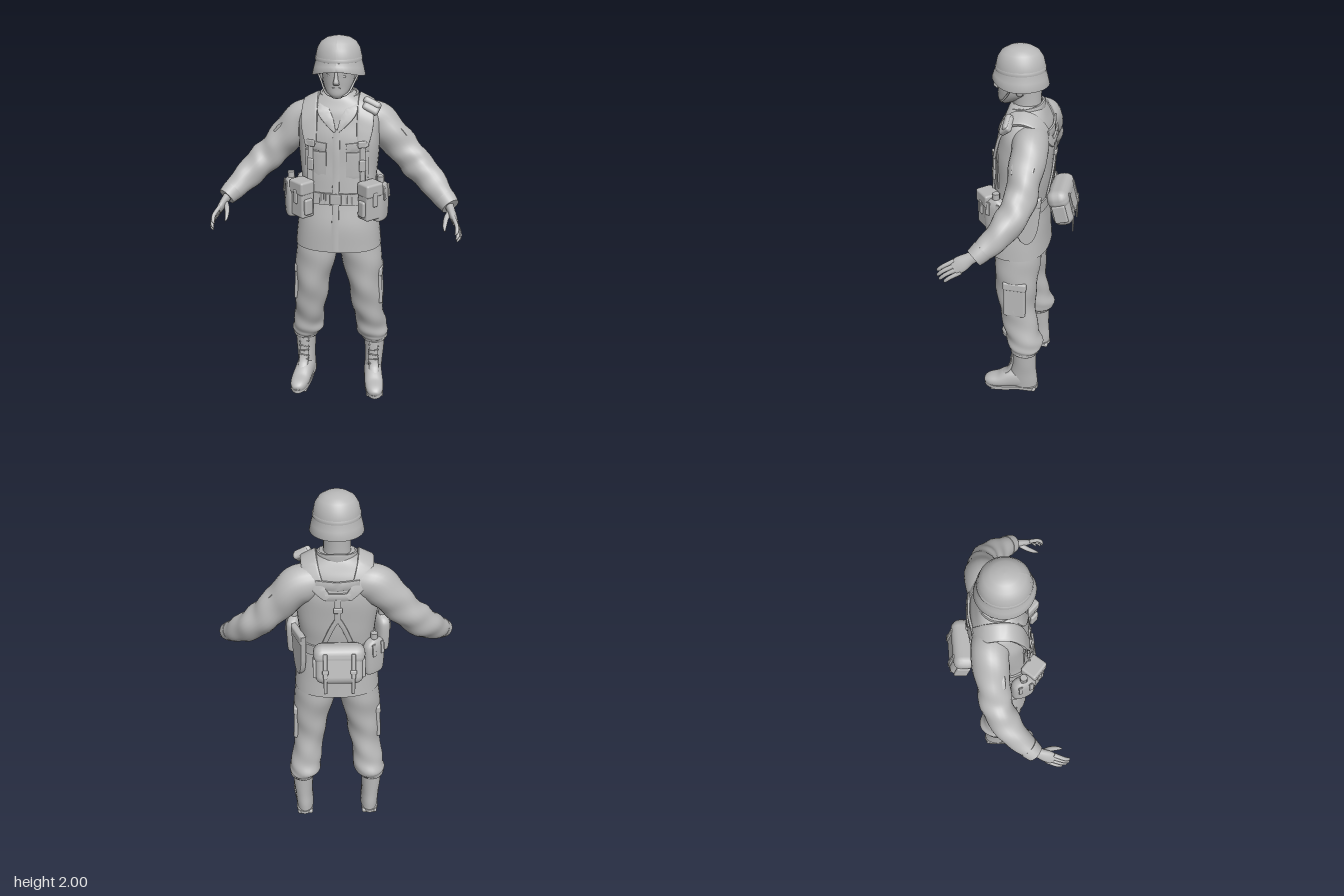
import * as THREE from 'three';
import { toCreasedNormals } from 'three/addons/utils/BufferGeometryUtils.js';
import { RoundedBoxGeometry } from 'three/addons/geometries/RoundedBoxGeometry.js';

const grey = new THREE.MeshStandardMaterial({ color: 0xb8b8b8, side: THREE.DoubleSide });
grey.name = 'grey';
const V = (x, y, z) => new THREE.Vector3(x, y, z);

function add(parent, name, geo, pos = [0, 0, 0], rot = [0, 0, 0]) {
  const mesh = new THREE.Mesh(geo, grey);
  mesh.name = name;
  mesh.position.set(...pos);
  mesh.rotation.set(...rot);
  parent.add(mesh);
  return mesh;
}
const box = (parent, name, size, pos, rot, r = 0.012) =>
  add(parent, name, new RoundedBoxGeometry(...size, 2, Math.min(r, Math.min(...size) * 0.45)), pos, rot);

// Skin through sections [x, y, z, halfWidth, halfDepth]; without ref the rings stay level
function loft(parent, name, secs, { n = 24, m = 5, p = 2, ref = null, fold = 0 } = {}) {
  const path = new THREE.CatmullRomCurve3(secs.map(s => V(s[0], s[1], s[2])), false, 'catmullrom');
  const size = new THREE.CatmullRomCurve3(secs.map(s => V(s[3], s[4], 0)), false, 'catmullrom');
  const rows = (secs.length - 1) * m, pos = [], idx = [];
  const power = c => Math.sign(c) * Math.abs(c) ** (2 / p);
  for (let i = 0; i <= rows; i++) {
    const u = i / rows, c = path.getPoint(u), r = size.getPoint(u);
    const t = ref ? path.getTangent(u) : V(0, 1, 0);
    const s = ref ? ref.clone().addScaledVector(t, -ref.dot(t)).normalize() : V(1, 0, 0);
    const q = t.clone().cross(s);
    for (let j = 0; j < n; j++) {
      const a = j / n * Math.PI * 2;
      const k = 1 + fold * Math.sin(u * Math.PI) * (Math.sin(u * 34 + 2 * a) + 0.7 * Math.sin(u * 21 - 3 * a + 1));
      const v = c.clone().addScaledVector(s, r.x * k * power(Math.cos(a))).addScaledVector(q, r.y * k * power(Math.sin(a)));
      pos.push(v.x, v.y, v.z);
      if (i < rows) {
        const b = i * n + j, d = i * n + (j + 1) % n;
        idx.push(b, d, b + n, d, d + n, b + n);
      }
    }
  }
  // End caps on copied rings
  for (const i of [0, rows]) {
    const base = pos.length / 3;
    pos.push(...pos.slice(i * n * 3, (i + 1) * n * 3), ...path.getPoint(i / rows).toArray());
    for (let j = 0; j < n; j++) {
      const k = (j + 1) % n;
      idx.push(base + n, base + (i ? j : k), base + (i ? k : j));
    }
  }
  let geo = new THREE.BufferGeometry();
  geo.setAttribute('position', new THREE.Float32BufferAttribute(pos, 3));
  geo.setIndex(idx);
  if (p >= 4) geo = toCreasedNormals(geo, 0.6); else geo.computeVertexNormals();
  return add(parent, name, geo);
}

const TORSO = [[0, .92, .017, .228, .167], [0, 1.05, .018, .215, .16], [0, 1.2, .008, .195, .142], [0, 1.35, -.008, .2, .143],
  [0, 1.5, -.018, .21, .142], [0, 1.6, -.023, .2, .125], [0, 1.66, -.022, .172, .105], [0, 1.705, -.02, .105, .085], [0, 1.725, -.02, .07, .07]];

// Depth of the jacket surface at x, y; f is 1 for chest, -1 for back
function zAt(x, y, f) {
  let i = 0;
  while (i < TORSO.length - 2 && TORSO[i + 1][1] < y) i++;
  const A = TORSO[i], B = TORSO[i + 1], k = (y - A[1]) / (B[1] - A[1]);
  const [, , c, rx, rz] = A.map((a, j) => a + (B[j] - a) * k);
  return c + f * rz * (1 - Math.min(.9, Math.abs(x) / rx) ** 2.4) ** (1 / 2.4);
}

// Webbing or cloth lying on the jacket, through points [x, y]
const ribbon = (parent, name, pts, f, w, h = .006, lift = .003, ref = V(1, 0, 0)) =>
  loft(parent, name, pts.map(([x, y]) => [x, y, zAt(x, y, f) + f * lift, w, h]), { ref, p: 6, n: 16, m: 4 });

const tube = (parent, name, pts, r) =>
  add(parent, name, new THREE.TubeGeometry(new THREE.CatmullRomCurve3(pts.map(p => V(...p))), 16, r, 8));

function buildHead(g) {
  loft(g, 'neck', [[0, 1.62, -.02, .085, .08], [0, 1.72, -.02, .068, .07], [0, 1.82, -.015, .066, .076]]);
  loft(g, 'head', [[0, 1.715, .085, .025, .028], [0, 1.735, .07, .05, .053], [0, 1.77, .035, .072, .088], [0, 1.81, .02, .081, .106],
    [0, 1.87, .015, .086, .112], [0, 1.94, .015, .07, .09]]);
  loft(g, 'nose', [[0, 1.785, .123, .016, .012], [0, 1.797, .131, .015, .017], [0, 1.82, .127, .009, .012], [0, 1.85, .12, .008, .008]], { n: 12 });
  box(g, 'upperLip', [.04, .008, .012], [0, 1.768, .117]);
  box(g, 'lowerLip', [.034, .008, .012], [0, 1.757, .113]);
  for (const s of [1, -1]) {
    const ear = add(g, 'ear', new THREE.SphereGeometry(1, 12, 8), [s * .084, 1.81, 0]);
    ear.scale.set(.012, .032, .02);
    box(g, 'brow', [.036, .011, .014], [s * .033, 1.842, .113], [0, s * .3, -s * .1]);
    const eye = add(g, 'eye', new THREE.SphereGeometry(1, 12, 8), [s * .032, 1.825, .111]);
    eye.scale.set(.014, .007, .007);
    tube(g, 'chinStrap', [[s * .11, 1.85, .03], [s * .083, 1.79, .055], [s * .05, 1.735, .095], [0, 1.722, .114]], .005);
  }
  // Oval helmet shell, raised at the front edge
  const prof = [[0, 1.96], [.09, 1.94], [.108, 1.88], [.128, 1.815], [.137, 1.815], [.128, 1.855], [.12, 1.88], [.117, 1.91], [.109, 1.945], [.09, 1.974], [.06, 1.992], [.028, 1.999], [0, 2]];
  const shell = new THREE.LatheGeometry(prof.map(p => new THREE.Vector2(...p)), 48);
  const P = shell.attributes.position;
  for (let i = 0; i < P.count; i++) {
    const x = P.getX(i), y = P.getY(i), z = P.getZ(i), c = z / (Math.hypot(x, z) || 1);
    if (y < 1.9) P.setY(i, y + Math.max(0, c) ** 2 * .035 * (1.9 - y) / .085);
  }
  shell.computeVertexNormals();
  add(g, 'helmet', shell, [0, 0, .012]).scale.set(.96, 1, 1.01);
  const band = [[.118, 1.888], [.121, 1.889], [.12, 1.905], [.115, 1.906]].map(p => new THREE.Vector2(...p));
  add(g, 'helmetBand', new THREE.LatheGeometry(band, 48), [0, 0, .012]).scale.set(.96, 1, 1.01);
}

function buildJacket(g) {
  loft(g, 'jacket', TORSO, { n: 40, p: 2.4, fold: .008 });
  loft(g, 'belt', [[0, 1.175, .01, .203, .151], [0, 1.205, .008, .202, .15], [0, 1.235, .006, .203, .15]], { n: 40, p: 2.4 });
  box(g, 'buckle', [.06, .055, .012], [0, 1.205, .158]);
  for (const x of [-.055, -.08, .055, .08]) box(g, 'beltKeeper', [.012, .066, .01], [x, 1.205, zAt(x, 1.205, 1) + .006]);
  ribbon(g, 'frontPlacket', [[0, .93], [0, 1.1], [0, 1.3], [0, 1.45], [0, 1.56]], 1, .018, .004, .002);
  // Collar open at the throat, ending in lapels
  const arc = Array.from({ length: 9 }, (_, i) => {
    const a = -2.2 + i * 4.4 / 8, k = Math.abs(a) / 2.2;
    return [.092 * Math.sin(a), 1.71 - .025 * k, -.018 - .083 * Math.cos(a), .028, .007];
  });
  loft(g, 'collar', arc, { ref: V(0, 1, 0), p: 5, n: 16 });
  for (const s of [1, -1]) {
    loft(g, 'lapel', [[s * .075, 1.685, .05, .014, .005], [s * .07, 1.65, .083, .03, .005], [s * .038, 1.6, .106, .024, .005], [s * .008, 1.55, .12, .006, .005]], { ref: V(1, 0, 0), p: 5, n: 16 });
    ribbon(g, 'chestPocketFlap', [[s * .05, 1.47], [s * .1, 1.475], [s * .16, 1.48]], 1, .022, .005, .003, V(0, 1, 0));
    ribbon(g, 'chestPocket', [[s * .05, 1.38], [s * .1, 1.38], [s * .16, 1.38]], 1, .07, .004, .001, V(0, 1, 0));
  }
}

function buildArm(g, s) {
  const M = list => list.map(([x, ...r]) => [s * x, ...r]);
  const ref = V(0, 0, 1);
  loft(g, 'sleeve', M([[.1, 1.585, -.055, .09, .085], [.19, 1.56, -.072, .09, .098], [.28, 1.473, -.069, .082, .088], [.355, 1.39, -.062, .078, .082],
    [.425, 1.322, -.037, .076, .08], [.495, 1.257, .015, .066, .07], [.55, 1.203, .075, .052, .056], [.575, 1.182, .105, .045, .047]]), { ref, fold: .045, m: 8 });
  loft(g, 'sleeveCuff', M([[.55, 1.206, .075, .054, .057], [.566, 1.191, .093, .05, .053], [.58, 1.178, .11, .046, .048]]), { ref });
  loft(g, 'sleevePocketFlap', M([[.265, 1.568, -.067, .05, .008], [.31, 1.534, -.067, .055, .01], [.342, 1.5, -.064, .05, .008]]), { ref, p: 5, n: 16 });
  // Hand with four spread fingers and a thumb
  const wide = V(-s * .3, .75, .6);
  loft(g, 'palm', M([[.57, 1.187, .1, .028, .024], [.58, 1.172, .13, .03, .021], [.594, 1.147, .168, .039, .019], [.606, 1.125, .2, .037, .014]]), { ref: wide, n: 16 });
  for (let i = 0; i < 4; i++) {
    const k = i - 1.5, x = .606 - k * .006, y = 1.125 + k * .016, z = .198 + k * .012;
    const L = [.078, .093, .092, .078][i];
    loft(g, 'finger', M([[x - .004, y + .01, z - .015, .011, .011], [x + .014, y - L * .22, z + L * .46, .01, .01],
      [x + .014, y - L * .5, z + L * .76, .0085, .0085], [x + .006, y - L * .66, z + L * .84, .003, .003]]), { ref, n: 10 });
  }
  loft(g, 'thumb', M([[.578, 1.165, .145, .014, .014], [.56, 1.145, .185, .013, .013], [.553, 1.118, .225, .01, .01], [.554, 1.1, .25, .004, .004]]), { ref: V(1, 0, 0), n: 10 });
}

function buildLeg(g, s) {
  const M = list => list.map(([x, ...r]) => [s * x, ...r]);
  loft(g, 'trouserLeg', M([[.198, .285, -.05, .062, .068], [.194, .31, -.05, .078, .084], [.184, .345, -.05, .09, .1], [.176, .42, -.033, .084, .096], [.157, .55, -.002, .087, .1],
    [.142, .7, .007, .096, .112], [.122, .85, .004, .112, .122], [.113, .97, 0, .1, .122]]), { fold: .035, n: 28, m: 8 });
  box(g, 'cargoPocket', [.03, .2, .12], [s * .227, .66, 0], [0, 0, s * .05]);
  box(g, 'cargoPocketFlap', [.034, .05, .128], [s * .224, .755, 0], [0, 0, s * .08]);
  loft(g, 'trouserCuff', M([[.199, .28, -.05, .064, .07], [.198, .297, -.05, .074, .078], [.196, .315, -.05, .07, .076]]), { fold: .03 });
  // Boot shaft, foot, laces, sole and heel
  loft(g, 'bootShaft', M([[.193, .03, -.042, .05, .083], [.195, .08, -.042, .051, .083], [.198, .14, -.045, .051, .074], [.2, .21, -.05, .055, .067], [.2, .31, -.05, .06, .068]]));
  loft(g, 'bootFoot', M([[.195, .075, -.08, .04, .05], [.195, .078, -.03, .051, .066], [.203, .072, .035, .052, .06],
    [.213, .054, .095, .053, .042], [.22, .046, .145, .046, .035], [.224, .04, .172, .03, .024], [.225, .037, .181, .012, .01]]), { ref: V(1, 0, 0), p: 2.3 });
  loft(g, 'bootTongue', M([[.21, .1, .075, .026, .012], [.205, .135, .04, .028, .012], [.201, .19, .022, .028, .01], [.2, .285, .014, .026, .01]]), { ref: V(1, 0, 0), n: 14 });
  for (let i = 0; i < 5; i++) box(g, 'lace', [.06, .007, .008], [s * .201, .15 + i * .028, .038 - i * .0045], [.3, 0, s * (i % 2 ? .2 : -.2)]);
  const outline = new THREE.Shape();
  outline.setFromPoints(new THREE.SplineCurve([[.148, -.1], [.15, -.02], [.161, .09], [.187, .16], [.225, .184], [.26, .15], [.266, .09], [.247, -.02], [.239, -.1], [.193, -.13], [.148, -.1]]
    .map(([x, z]) => new THREE.Vector2(s * x, -z))).getPoints(40));
  add(g, 'sole', new THREE.ExtrudeGeometry(outline, { depth: .02, bevelEnabled: false }), [0, .012, 0], [-Math.PI / 2, 0, 0]);
  box(g, 'heel', [.09, .03, .085], [s * .193, .015, -.078]);
  box(g, 'soleTread', [.096, .014, .11], [s * .214, .007, .09], [0, s * .12, 0]);
}

function buildHarness(g) {
  for (const s of [1, -1]) {
    // Padded strap over the shoulder, narrowing to webbing at the front
    const front = [[.13, 1.48], [.138, 1.56], [.14, 1.625]].map(([x, y], i) => [s * x, y, zAt(x, y, 1) + .01, [.028, .04, .042][i], .009]);
    const back = [[.12, 1.635], [.09, 1.58], [.05, 1.535]].map(([x, y], i) => [s * x, y, zAt(x, y, -1) - .005, [.04, .03, .02][i], .008]);
    loft(g, 'shoulderStrap', [...front, [s * .138, 1.678, .035, .042, .01], [s * .138, 1.695, -.02, .042, .01], [s * .133, 1.678, -.08, .042, .009], ...back], { ref: V(1, -s * .5, 0), p: 5, n: 16 });
    ribbon(g, 'frontWebbing', [[s * .13, 1.5], [s * .132, 1.38], [s * .135, 1.22]], 1, .014, .006, .008);
    box(g, 'strapBuckle', [.046, .035, .014], [s * .13, 1.49, zAt(.13, 1.49, 1) + .016], [0, s * .4, 0]);
    box(g, 'strapAdjuster', [.036, .06, .014], [s * .132, 1.38, zAt(.13, 1.38, 1) + .012], [0, s * .4, 0]);
    ribbon(g, 'backLowerWebbing', [[s * .005, 1.41], [s * .035, 1.35], [s * .075, 1.24]], -1, .012, .006, .006);
    // Ammunition pouches set diagonally on the belt
    const pouch = new THREE.Group();
    pouch.name = 'ammoPouch';
    pouch.position.set(s * .17, 1.2, .138);
    pouch.rotation.y = s * .75;
    g.add(pouch);
    box(pouch, 'pouchBody', [.1, .185, .08], [0, 0, .005]);
    box(pouch, 'pouchLid', [.106, .07, .088], [0, .068, .006]);
    box(pouch, 'pouchClosure', [.026, .075, .012], [0, .02, .048]);
    for (const k of [1, -1]) box(pouch, 'sidePocket', [.022, .085, .05], [k * .054, -.03, .008]);
  }
  ribbon(g, 'backYoke', [[-.105, 1.6], [0, 1.595], [.105, 1.6]], -1, .024, .007, .005, V(0, 1, 0));
  ribbon(g, 'backPanel', [[-.06, 1.54], [0, 1.54], [.06, 1.54]], -1, .02, .007, .005, V(0, 1, 0));
  ribbon(g, 'backStrap', [[0, 1.53], [0, 1.47], [0, 1.4]], -1, .016, .007, .006);
  box(g, 'backBuckle', [.044, .03, .014], [0, 1.47, -.168]);
  // Aid pouch on the left shoulder
  box(g, 'aidPouch', [.085, .07, .035], [.167, 1.664, .045], [-.75, .3, -.35], .014);
  box(g, 'aidPouchFlap', [.09, .035, .04], [.167, 1.68, .039], [-.75, .3, -.35], .014);
  // Canteens at both hips and behind the right one
  for (const [x, y, z, turn] of [[-.238, 1.195, .085, -1.25], [.222, 1.19, .09, 1.25], [-.185, 1.165, -.1, -2.45]]) {
    const c = new THREE.Group();
    c.name = 'canteen';
    c.position.set(x, y, z);
    c.rotation.y = turn;
    g.add(c);
    loft(c, 'canteenCover', [[0, -.1, 0, .045, .025], [0, -.085, 0, .06, .034], [0, .04, 0, .063, .036], [0, .08, 0, .05, .03], [0, .1, 0, .02, .018]], { p: 2.6 });
    add(c, 'canteenCap', new THREE.CylinderGeometry(.018, .018, .03, 14), [0, .115, 0]);
    for (const k of [1, -1]) box(c, 'coverStrap', [.022, .07, .008], [k * .028, .05, .034], [-.12, 0, 0]);
  }
  // Tapered tool carrier on the left hip
  const tool = new THREE.Shape();
  tool.moveTo(-.07, .12); tool.lineTo(.07, .12); tool.lineTo(.055, -.03);
  tool.quadraticCurveTo(.04, -.13, 0, -.135); tool.quadraticCurveTo(-.04, -.13, -.055, -.03); tool.closePath();
  const toolGeo = new THREE.ExtrudeGeometry(tool, { depth: .02, bevelSize: .005, bevelThickness: .005, bevelSegments: 2 });
  add(g, 'toolCarrier', toolGeo, [.188, 1.165, -.055], [0, 1.95, 0]);
  box(g, 'toolCarrierFlap', [.142, .055, .034], [.199, 1.265, -.06], [0, 1.95, 0]);
  // Rounded field pack on the back of the belt, leaning forward
  const pack = new THREE.Group();
  pack.name = 'fieldPack';
  pack.position.set(-.005, 1.192, -.21);
  pack.rotation.x = .26;
  g.add(pack);
  box(pack, 'packBody', [.245, .19, .11], [0, -.01, 0], [0, 0, 0], .045);
  box(pack, 'packLid', [.26, .1, .116], [0, .05, 0], [0, 0, 0], .05);
  for (const k of [1, -1]) {
    box(pack, 'packStrap', [.022, .13, .01], [k * .07, 0, -.058]);
    box(pack, 'packBuckle', [.032, .022, .012], [k * .07, -.03, -.06]);
    box(pack, 'hangingStrap', [.018, .13, .008], [k * .07, -.095, -.044], [-.26, 0, 0]);
    box(pack, 'packEndPocket', [.02, .1, .07], [k * .122, -.02, 0]);
  }
}

export function createModel() {
  const model = new THREE.Group();
  model.name = 'soldier';
  const part = (name, build, ...args) => {
    const g = new THREE.Group();
    g.name = name;
    model.add(g);
    build(g, ...args);
  };
  part('headAndHelmet', buildHead);
  part('jacketAndBelt', buildJacket);
  part('loadHarness', buildHarness);
  for (const [side, s] of [['left', 1], ['right', -1]]) {
    part(side + 'Arm', buildArm, s);
    part(side + 'Leg', buildLeg, s);
  }
  return model;
}
